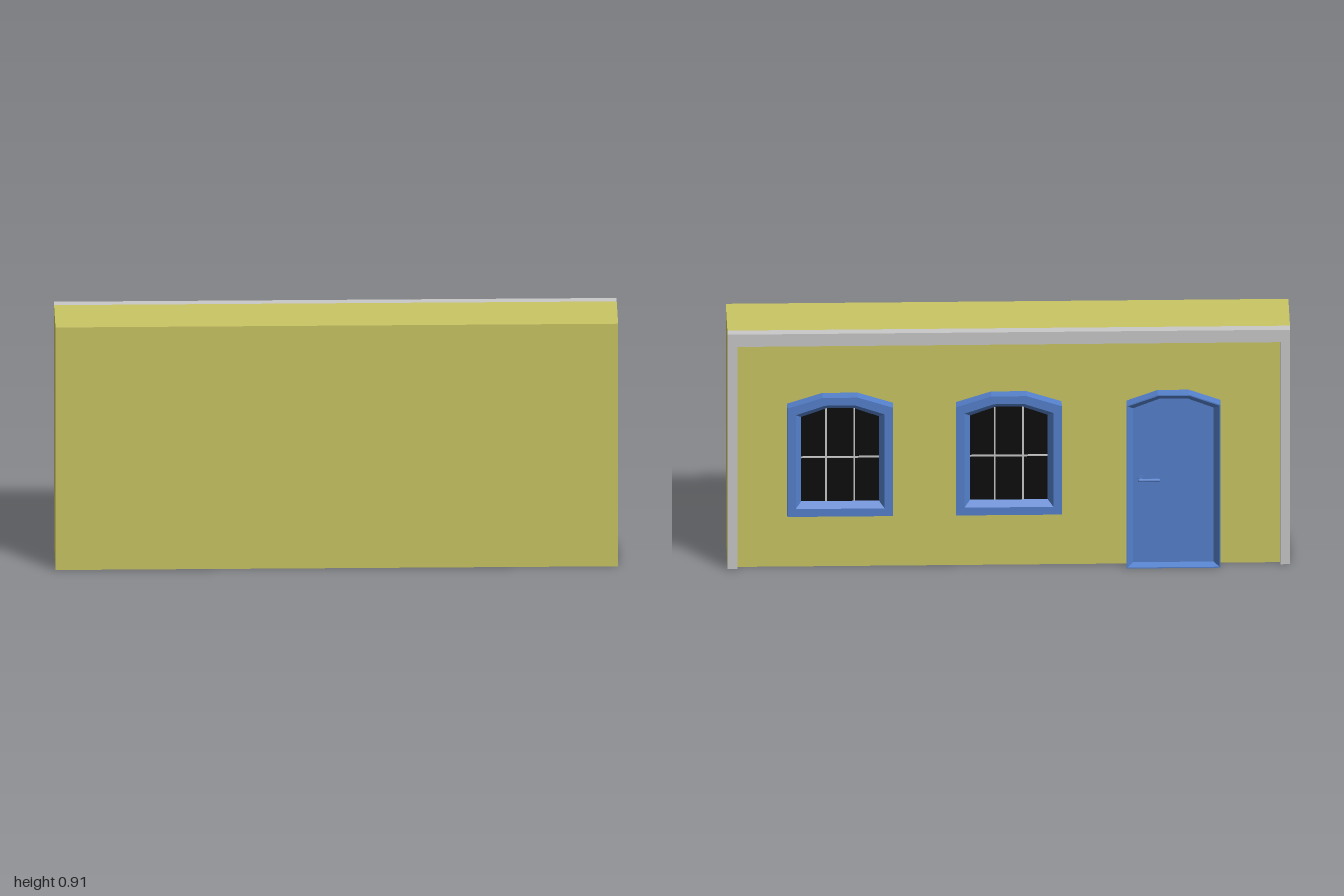
import * as THREE from 'three';

const mat = (name, color) => Object.assign(new THREE.MeshStandardMaterial({ color }), { name });

const WALL_BACK = -0.1;   // facade plane, facing -z
const FRAME_Z = -0.147;   // front plane of the door and window frames

// Arched six-point outline, shrunk by an inset, anticlockwise when seen from -z
function archLoop(cx, half, bottom, z, inset, bottomInset = inset) {
  const h = half - inset, b = bottom + bottomInset;
  const spring = 0.627 - inset * 0.85, top = 0.667 - inset, t = half / 3 - inset * 0.3;
  return [[-h, b], [-h, spring], [-t, top], [t, top], [h, spring], [h, b]]
    .map(([x, y]) => [cx + x, y, z]);
}

// Flat-faced surface through successive loops
function loft(loops) {
  const p = [];
  for (let k = 0; k < loops.length - 1; k++) {
    const a = loops[k], b = loops[k + 1];
    a.forEach((_, i) => {
      const j = (i + 1) % a.length;
      p.push(...a[i], ...a[j], ...b[j], ...a[i], ...b[j], ...b[i]);
    });
  }
  return toGeometry(p);
}

// Fan that fills one convex loop
function fill(loop) {
  const p = [];
  for (let i = 1; i < loop.length - 1; i++) p.push(...loop[0], ...loop[i], ...loop[i + 1]);
  return toGeometry(p);
}

function toGeometry(p) {
  const g = new THREE.BufferGeometry();
  g.setAttribute('position', new THREE.Float32BufferAttribute(p, 3));
  g.computeVertexNormals();
  return g;
}

export function createModel() {
  const model = new THREE.Group();
  model.name = 'houseWall';
  const yellow = mat('yellowPlaster', 0xc9c564);
  const grey = mat('greyTrim', 0xc8c8c8);
  const blue = mat('bluePaint', 0x5581cc);
  const black = mat('blackGlass', 0x0c0c0c);

  const add = (parent, name, geometry, material) => {
    const m = new THREE.Mesh(geometry, material);
    m.name = name;
    parent.add(m);
    return m;
  };
  // Box given by its minimum and maximum on each axis
  const box = (parent, name, material, x0, x1, y0, y1, z0, z1) =>
    add(parent, name, new THREE.BoxGeometry(x1 - x0, y1 - y0, z1 - z0), material)
      .position.set((x0 + x1) / 2, (y0 + y1) / 2, (z0 + z1) / 2);

  // Wall
  box(model, 'wall', yellow, -1, 1, 0, 0.91, WALL_BACK, 0.148);

  // Corner posts, beam and cornice
  box(model, 'rightPost', grey, -1, -0.965, 0, 0.855, -0.12, WALL_BACK);
  box(model, 'leftPost', grey, 0.965, 1, 0, 0.855, -0.12, WALL_BACK);
  box(model, 'beam', grey, -1, 1, 0.855, 0.882, -0.12, WALL_BACK);
  box(model, 'cornice', grey, -1, 1, 0.882, 0.91, -0.138, WALL_BACK);

  // Windows
  for (const cx of [0, 0.6]) {
    const win = new THREE.Group();
    win.name = 'window';
    model.add(win);
    const half = 0.188, bottom = 0.21, glassZ = -0.122;
    const glassLoop = archLoop(cx, half, bottom, glassZ, 0.05);
    add(win, 'windowFrame', loft([
      archLoop(cx, half, bottom, WALL_BACK, 0),
      archLoop(cx, half, bottom, FRAME_Z, 0),
      archLoop(cx, half, bottom, FRAME_Z, 0.03),
      glassLoop,
    ]), blue);
    add(win, 'glass', fill(glassLoop), black);
    // Glazing bars
    for (const s of [-1, 1]) {
      const x = cx + s * 0.05;
      box(win, 'verticalBar', grey, x - 0.003, x + 0.003, 0.26, 0.617, glassZ - 0.004, glassZ);
    }
    box(win, 'horizontalBar', grey, cx - 0.138, cx + 0.138, 0.427, 0.433, glassZ - 0.004, glassZ);
  }

  // Door
  const door = new THREE.Group();
  door.name = 'door';
  model.add(door);
  const dx = -0.585, dHalf = 0.167, panelZ = -0.122;
  const panelLoop = archLoop(dx, dHalf, 0, panelZ, 0.024, 0.014);
  add(door, 'doorFrame', loft([
    archLoop(dx, dHalf, 0, WALL_BACK, 0),
    archLoop(dx, dHalf, 0, FRAME_Z, 0),
    archLoop(dx, dHalf, 0, FRAME_Z, 0.004),
    panelLoop,
  ]), blue);
  add(door, 'doorPanel', fill(panelLoop), blue);

  // Door handle: rosette, neck and lever
  const hx = dx + dHalf - 0.05, hy = 0.335;
  const cylinder = (name, r, z0, z1) => {
    const m = add(door, name, new THREE.CylinderGeometry(r, r, z1 - z0, 12), blue);
    m.rotation.x = Math.PI / 2;
    m.position.set(hx, hy, (z0 + z1) / 2);
  };
  cylinder('handleRosette', 0.014, panelZ - 0.004, panelZ);
  cylinder('handleNeck', 0.007, -0.138, panelZ);
  const lever = add(door, 'handleLever', new THREE.CapsuleGeometry(0.006, 0.068, 4, 10), blue);
  lever.rotation.z = Math.PI / 2;
  lever.position.set(hx - 0.03, hy, -0.138);

  return model;
}
